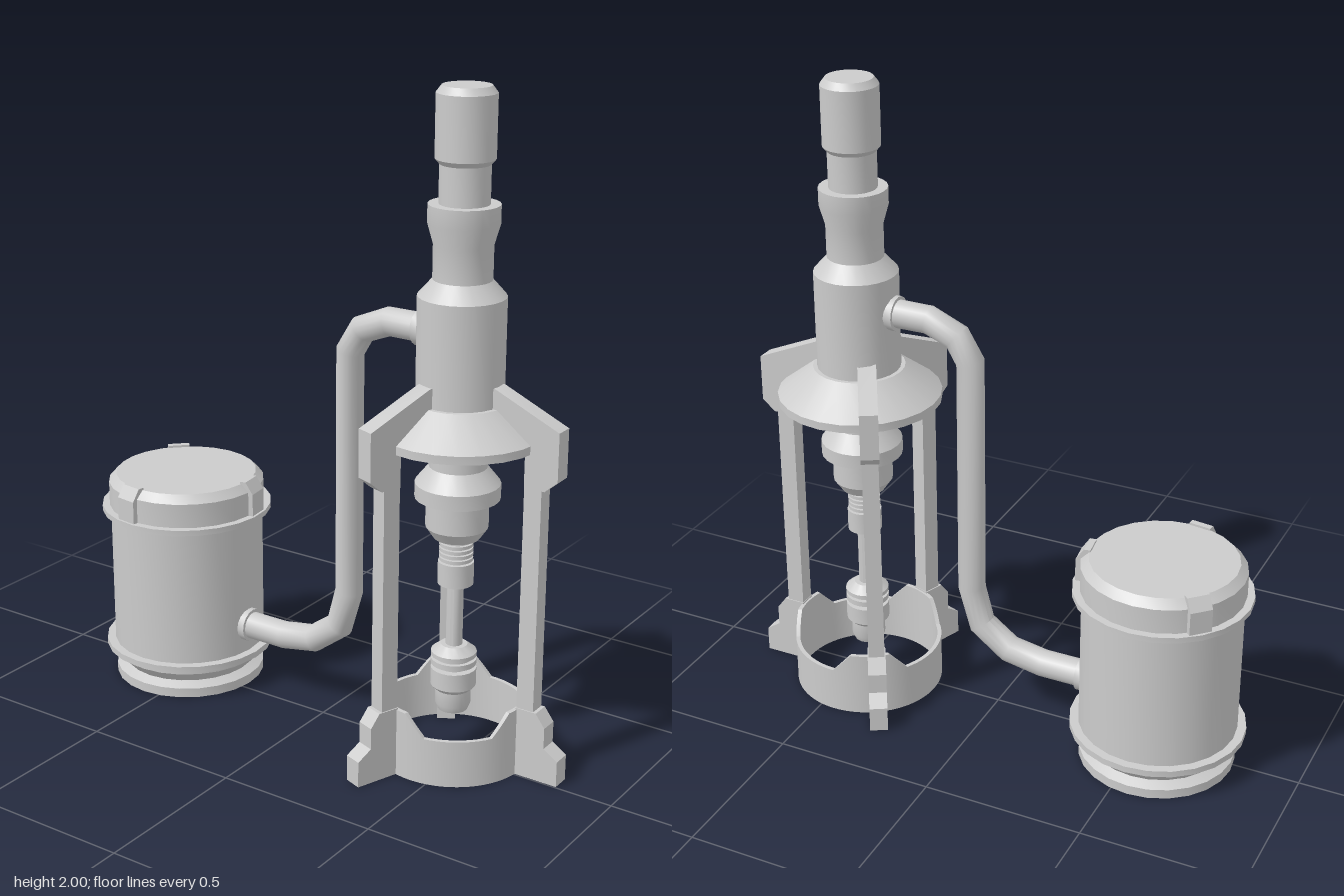
import * as THREE from 'three';
import { toCreasedNormals } from 'three/addons/utils/BufferGeometryUtils.js';

const material = new THREE.MeshStandardMaterial({ color: 0xcccccc });
const rad = THREE.MathUtils.degToRad;

function part(name, geometry, parent, crease = 0.5) {
  const mesh = new THREE.Mesh(toCreasedNormals(geometry, crease), material);
  mesh.name = name;
  parent.add(mesh);
  return mesh;
}

// Turned part: [radius, y] pairs, running up the outside
function turned(points, sides = 24) {
  return new THREE.LatheGeometry(points.map(([r, y]) => new THREE.Vector2(r, y)), sides);
}

// Flat side profile in (radius, y), given a thickness centred on z = 0
function plate(points, width) {
  const shape = new THREE.Shape(points.map(([x, y]) => new THREE.Vector2(x, y)));
  return new THREE.ExtrudeGeometry(shape, { depth: width, bevelEnabled: false }).translate(0, 0, -width / 2);
}

// Path with straight runs and mitred corners
class BentPath extends THREE.Curve {
  constructor(points) {
    super();
    this.points = points;
  }
  getPoint(t, target = new THREE.Vector3()) {
    const last = this.points.length - 1;
    const i = Math.min(Math.floor(t * last + 1e-6), last - 1);
    return target.lerpVectors(this.points[i], this.points[i + 1], t * last - i);
  }
  getPointAt(t, target) {
    return this.getPoint(t, target);
  }
  getTangentAt(t, target = new THREE.Vector3()) {
    const p = this.points, last = p.length - 1, i = Math.round(t * last);
    const before = p[Math.max(i, 1)].clone().sub(p[Math.max(i, 1) - 1]).normalize();
    const j = Math.min(i, last - 1);
    const after = p[j + 1].clone().sub(p[j]).normalize();
    return target.copy(before).add(after).normalize();
  }
}

// Angles run from +x towards +z; shift nudges a leg off the axis
const legs = [
  { name: 'leftLeg', angle: 0, shift: 0 },
  { name: 'frontLeg', angle: 110, shift: 0 },
  { name: 'backLeg', angle: -120, shift: 0.043 },
];

function buildTower() {
  const tower = new THREE.Group();
  tower.name = 'tower';

  // Upper housing with its skirt disc
  part('upperHousing', turned([
    [0, 1], [0.25, 1], [0.25, 1.025], [0.14, 1.11], [0.127, 1.11], [0.127, 1.415], [0.085, 1.462],
    [0.085, 1.56], [0.102, 1.62], [0.102, 1.675], [0.072, 1.675], [0.072, 1.785], [0.085, 1.8],
    [0.085, 1.98], [0.07, 2], [0, 2],
  ]), tower);

  // Stepped collar below the disc
  part('lowerHousing', turned([
    [0, 0.69], [0.068, 0.69], [0.092, 0.725], [0.092, 0.815], [0.125, 0.815], [0.125, 0.86],
    [0.085, 0.91], [0.085, 1], [0, 1],
  ]), tower);

  // Threaded neck and nozzle
  const neck = [[0, 0.545], [0.053, 0.545], [0.053, 0.615]];
  for (let i = 0; i < 5; i++) {
    const y = 0.615 + i * 0.015;
    neck.push([0.04, y], [0.04, y + 0.005], [0.05, y + 0.005], [0.05, y + 0.015]);
  }
  part('threadedNeck', turned([...neck, [0, 0.69]]), tower);

  part('rod', new THREE.CylinderGeometry(0.025, 0.025, 0.22, 16).translate(0, 0.445, 0), tower);

  // Grooved plug under the rod
  part('plug', turned([
    [0, 0.14], [0.045, 0.14], [0.053, 0.16], [0.053, 0.205], [0.068, 0.22], [0.068, 0.275], [0.045, 0.275], [0.045, 0.288],
    [0.068, 0.288], [0.068, 0.305], [0.055, 0.305], [0.055, 0.315], [0.068, 0.315], [0.068, 0.328],
    [0.04, 0.35], [0, 0.35],
  ]), tower);

  // Open base ring, its rim raised beside each leg
  const ring = turned([[0.222, 0], [0.235, 0], [0.235, 0.145], [0.222, 0.145], [0.222, 0]], 72);
  const pos = ring.attributes.position;
  for (let i = 0; i < pos.count; i++) {
    if (pos.getY(i) < 0.1) continue;
    const a = Math.atan2(pos.getZ(i), pos.getX(i));
    const gap = Math.min(...legs.map((leg) => Math.acos(Math.cos(a - rad(leg.angle)))));
    pos.setY(i, 0.145 + 0.065 * (1 - THREE.MathUtils.clamp((gap - rad(15)) / rad(15), 0, 1)));
  }
  part('baseRing', ring, tower);

  // Three legs: arm, bracket, post and stepped foot
  for (const { name, angle, shift } of legs) {
    const leg = new THREE.Group();
    leg.name = name;
    leg.rotation.y = -rad(angle);
    leg.position.z = shift;
    tower.add(leg);
    part('bracketArm', plate([
      [0.09, 1.03], [0.23, 1.0], [0.23, 0.9], [0.295, 0.9], [0.335, 0.935], [0.335, 1.08], [0.13, 1.17], [0.09, 1.17],
    ], 0.056), leg);
    part('post', new THREE.BoxGeometry(0.055, 0.72, 0.05).translate(0.257, 0.55, 0), leg);
    part('foot', plate([
      [0.228, 0], [0.37, 0], [0.37, 0.08], [0.325, 0.11], [0.325, 0.175], [0.295, 0.215], [0.228, 0.215],
    ], 0.056), leg);
  }
  return tower;
}

function buildTank() {
  const tank = new THREE.Group();
  tank.name = 'tank';

  // Shell with two flanges, pinched foot and recessed bottom
  part('tankShell', turned([
    [0, 0.06], [0.2, 0.06], [0.225, 0], [0.24, 0], [0.24, 0.03], [0.21, 0.045], [0.24, 0.08], [0.24, 0.1],
    [0.27, 0.1], [0.27, 0.12], [0.243, 0.12], [0.243, 0.565], [0.27, 0.565], [0.27, 0.583],
    [0.247, 0.583], [0.247, 0.66], [0.223, 0.685], [0, 0.685],
  ]), tank);

  // Lid clips
  for (const angle of [-8, 98, 225]) {
    const clip = part('lidClip', plate([
      [0.215, 0.58], [0.26, 0.58], [0.26, 0.655], [0.235, 0.692], [0.215, 0.692],
    ], 0.07), tank);
    clip.rotation.y = -rad(angle);
  }
  return tank;
}

function buildPipe() {
  const pipe = new THREE.Group();
  pipe.name = 'pipe';
  const path = new BentPath([
    [0.36, 1.3], [0.21, 1.3], [0.118, 1.262], [0.075, 1.19], [0.075, 0.425], [0.04, 0.3],
    [-0.055, 0.23], [-0.17, 0.21], [-0.33, 0.21],
  ].map(([x, y]) => new THREE.Vector3(x, y, 0)));
  part('pipeTube', new THREE.TubeGeometry(path, path.points.length - 1, 0.043, 16), pipe, 0.7);

  // Collars where the pipe meets tower and tank
  for (const [x, y] of [[0.325, 1.3], [-0.31, 0.21]]) {
    part('pipeCollar', new THREE.CylinderGeometry(0.053, 0.053, 0.03, 16).rotateZ(Math.PI / 2).translate(x, y, 0), pipe);
  }
  return pipe;
}

export function createModel() {
  const model = new THREE.Group();
  model.name = 'pumpWithTank';
  const tower = buildTower(), tank = buildTank(), pipe = buildPipe();
  tower.position.set(0.45, 0, -0.032);
  tank.position.set(-0.554, 0, -0.032);
  pipe.position.z = -0.032;
  model.add(tower, tank, pipe);
  return model;
}
